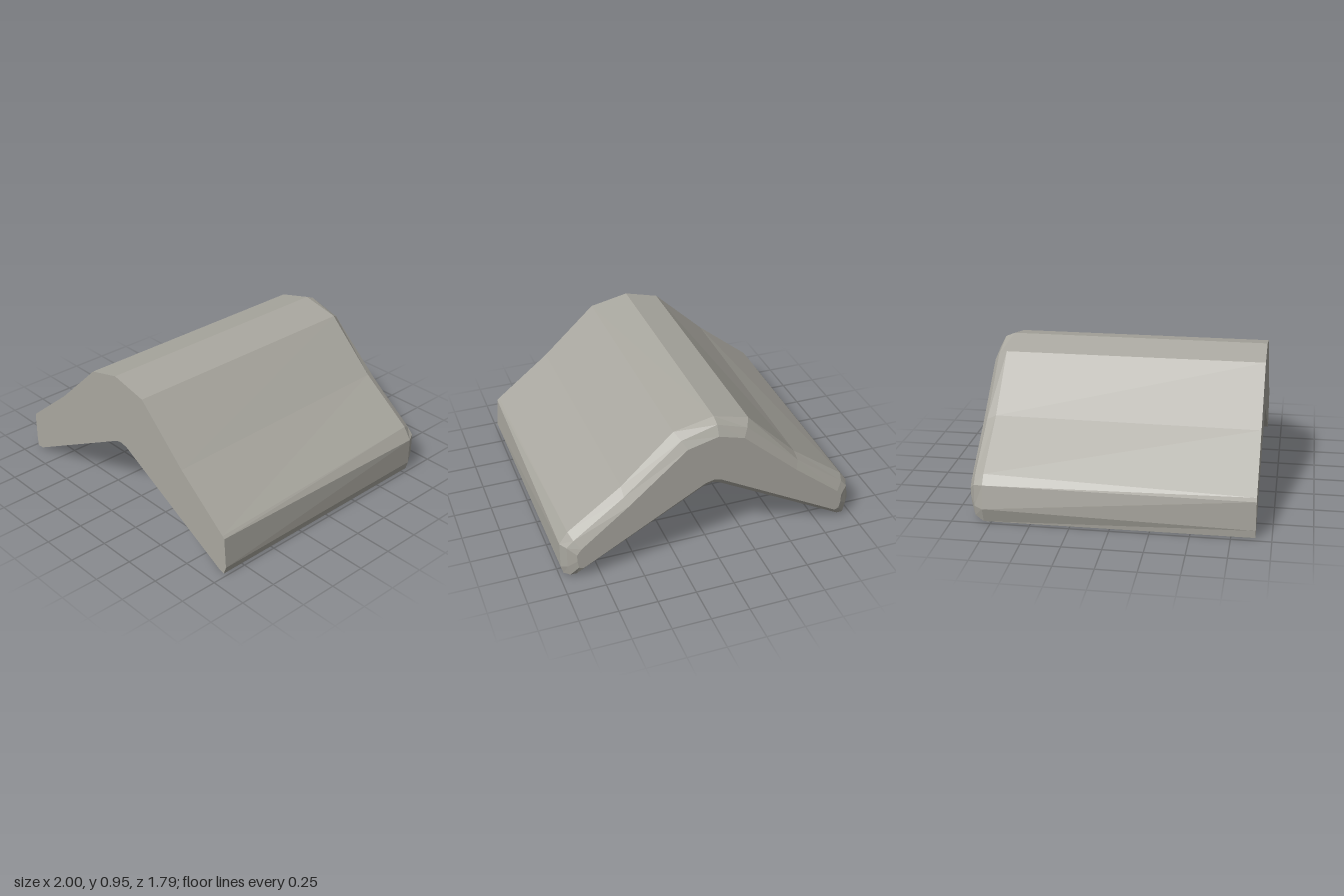
import * as THREE from 'three';

// Cross-sections, clockwise from the lower right-hand tip: outer end, roof, outer end, underside
const SECTIONS = [
  { z: 0.9, p: [[-0.97, 0.01], [-0.975, 0.06], [-0.975, 0.25], [-0.965, 0.275], [-0.6, 0.57], [-0.25, 0.9], [-0.02, 0.96], [0.24, 0.905],
    [0.6, 0.57], [0.965, 0.28], [0.98, 0.265], [0.995, 0.06], [0.975, 0.005], [0.94, 0.015], [0.06, 0.48], [0, 0.49], [-0.04, 0.48], [-0.92, 0.015]] },
  { z: -0.8, p: [[-0.97, 0.005], [-1, 0.1], [-0.975, 0.25], [-0.93, 0.31], [-0.58, 0.57], [-0.25, 0.9], [-0.02, 0.96], [0.24, 0.905],
    [0.58, 0.58], [0.93, 0.32], [0.985, 0.24], [0.985, 0.06], [0.97, 0.005], [0.92, 0.01], [0.06, 0.475], [0, 0.49], [-0.04, 0.48], [-0.92, 0.01]] },
  { z: -0.86, p: [[-0.94, 0.03], [-0.955, 0.1], [-0.95, 0.24], [-0.91, 0.29], [-0.58, 0.54], [-0.22, 0.87], [-0.02, 0.935], [0.21, 0.87],
    [0.58, 0.54], [0.91, 0.29], [0.955, 0.245], [0.955, 0.1], [0.94, 0.03], [0.9, 0.03], [0.06, 0.495], [0, 0.51], [-0.04, 0.5], [-0.9, 0.03]] },
  { z: -0.895, p: [[-0.89, 0.1], [-0.9, 0.15], [-0.9, 0.2], [-0.87, 0.24], [-0.56, 0.49], [-0.19, 0.82], [-0.02, 0.87], [0.18, 0.82],
    [0.56, 0.49], [0.87, 0.24], [0.9, 0.2], [0.9, 0.15], [0.89, 0.1], [0.86, 0.09], [0.06, 0.54], [0, 0.555], [-0.04, 0.545], [-0.86, 0.09]] },
];

// Joins the sections into a closed solid with flat ends
function loft(sections) {
  const n = sections[0].p.length;
  const positions = sections.flatMap(s => s.p.flatMap(([x, y]) => [x, y, s.z]));
  const index = [];
  for (let s = 0; s < sections.length - 1; s++) {
    for (let i = 0; i < n; i++) {
      const j = (i + 1) % n;
      const a = s * n + i, b = s * n + j, c = a + n, d = b + n;
      index.push(a, b, c, b, d, c);
    }
  }
  const cap = (s, facing) => {
    const pts = sections[s].p.map(([x, y]) => new THREE.Vector2(x, y));
    for (const [a, b, c] of THREE.ShapeUtils.triangulateShape(pts, [])) {
      const turn = pts[b].clone().sub(pts[a]).cross(pts[c].clone().sub(pts[a]));
      const o = s * n;
      if (turn * facing > 0) index.push(o + a, o + b, o + c);
      else index.push(o + a, o + c, o + b);
    }
  };
  cap(0, 1);
  cap(sections.length - 1, -1);
  const indexed = new THREE.BufferGeometry();
  indexed.setAttribute('position', new THREE.Float32BufferAttribute(positions, 3));
  indexed.setIndex(index);
  const geometry = indexed.toNonIndexed();
  geometry.computeVertexNormals();
  return geometry;
}

export function createModel() {
  const stone = new THREE.MeshStandardMaterial({ color: 0xaaa8a0, flatShading: true });
  stone.name = 'warm grey stone';
  const group = new THREE.Group();
  group.name = 'ridgeCap';
  const ridge = new THREE.Mesh(loft(SECTIONS), stone);
  ridge.name = 'ridgeStone';
  group.add(ridge);
  return group;
}
